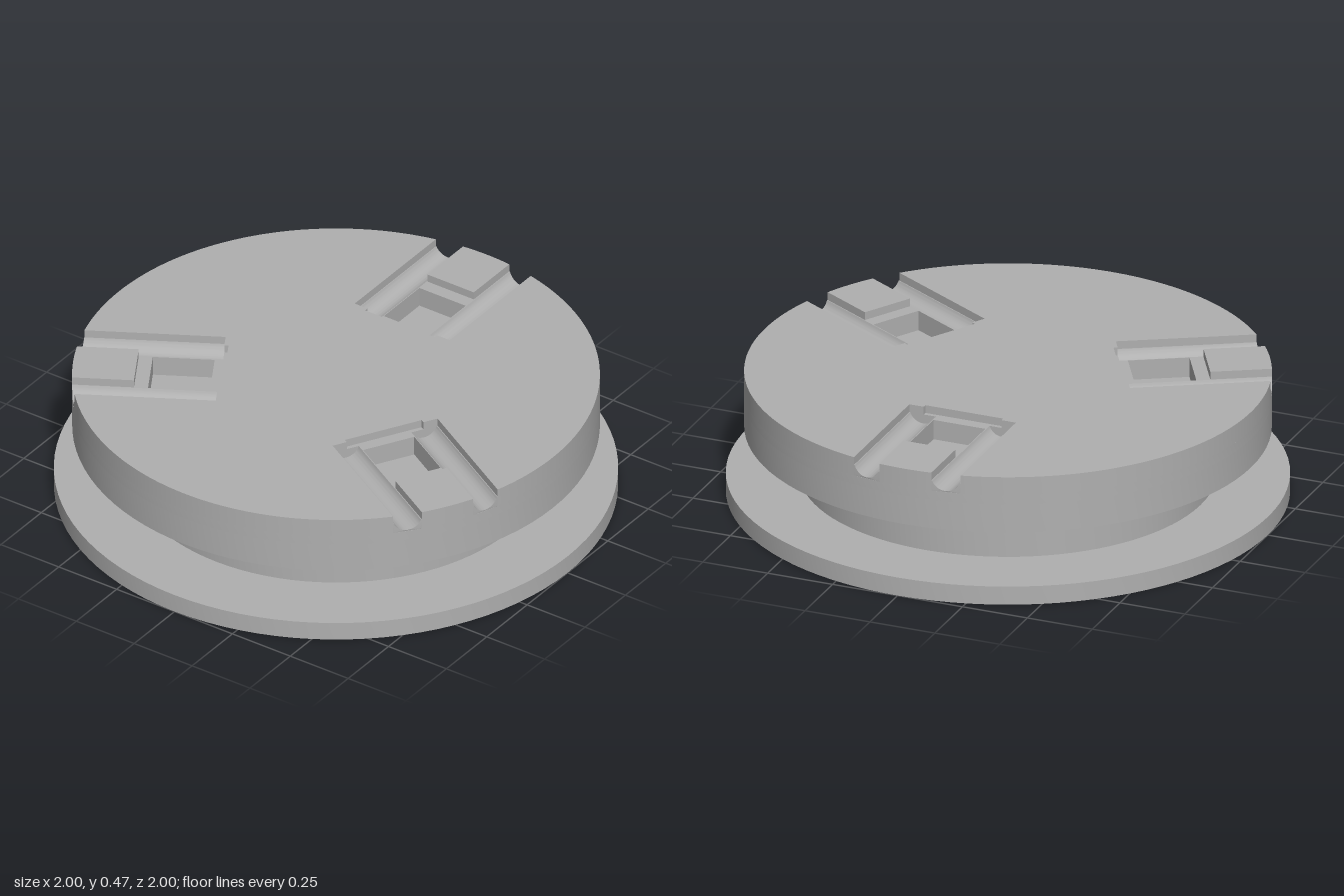
import * as THREE from 'three';
import { toCreasedNormals } from 'three/addons/utils/BufferGeometryUtils.js';

const R = 0.935;              // upper disc radius
const ARM = Math.PI * 2 / 3;  // angle between the three clamp stations
const GROOVE_IN = 0.10, GROOVE_OUT = 0.205, GROOVE_START = 0.41;
const rim = (t) => Math.sqrt(R * R - t * t);

const grey = new THREE.MeshStandardMaterial({ color: 0xb0b0b0 });
grey.name = 'plain grey';

function addMesh(parent, name, geometry) {
  const mesh = new THREE.Mesh(toCreasedNormals(geometry, 0.5), grey);
  mesh.name = name;
  parent.add(mesh);
  return mesh;
}

// Plan shape (plan y points to the back) raised from y0 to y1
function addSlab(parent, name, shape, y0, y1) {
  const g = new THREE.ExtrudeGeometry(shape, { depth: y1 - y0, bevelEnabled: false, curveSegments: 48 });
  g.rotateX(-Math.PI / 2).translate(0, y0, 0);
  return addMesh(parent, name, g);
}

function polygon(points) {
  return new THREE.Shape(points.map(([x, y]) => new THREE.Vector2(x, y)));
}

// Disc with a ring of round holes
function disc(radius, count = 0, ringRadius = 0, holeRadius = 0, start = 0) {
  const s = new THREE.Shape().absarc(0, 0, radius, 0, Math.PI * 2);
  for (let i = 0; i < count; i++) {
    const a = start + i * Math.PI * 2 / count;
    s.holes.push(new THREE.Path().absarc(
      Math.cos(a) * ringRadius, Math.sin(a) * ringRadius, holeRadius, 0, Math.PI * 2, true));
  }
  return s;
}

// Point at sideways offset t and distance r along the station at angle a
const local = (a, t, r) => new THREE.Vector2(
  Math.cos(a) * r + Math.sin(a) * t, Math.sin(a) * r - Math.cos(a) * t);

// Disc outline notched by the three stations
function notchedDisc() {
  const s = new THREE.Shape();
  const gap = Math.asin(GROOVE_OUT / R);
  const w = GROOVE_OUT;
  const notch = [[w, rim(w)], [w, GROOVE_START], [0.15, GROOVE_START], [0.15, 0.395],
    [-0.15, 0.395], [-0.15, GROOVE_START], [-w, GROOVE_START], [-w, rim(w)]];
  for (let i = 0; i < 3; i++) {
    const a = Math.PI / 2 + i * ARM;
    notch.forEach(([t, r], k) => {
      const p = local(a, t, r);
      if (i === 0 && k === 0) s.moveTo(p.x, p.y); else s.lineTo(p.x, p.y);
    });
    s.absarc(0, 0, R, a + gap, a + ARM - gap, false);
  }
  return s;
}

// Trough bed whose outer end follows the rim
function grooveGeometry(side) {
  const cx = side * (GROOVE_IN + GROOVE_OUT) / 2, h = 0.0525, cy = 0.4525, top = 0.435;
  const a = Math.asin((cy - top) / h);
  const s = new THREE.Shape();
  s.moveTo(cx - h, 0.395);
  s.lineTo(cx + h, 0.395);
  s.lineTo(cx + h, top);
  s.absarc(cx, cy, h, -a, -Math.PI + a, true);
  s.lineTo(cx - h, top);
  const g = new THREE.ExtrudeGeometry(s, { depth: 1, bevelEnabled: false, curveSegments: 12 });
  const p = g.attributes.position;
  for (let i = 0; i < p.count; i++) {
    p.setZ(i, p.getZ(i) > 0.5 ? -GROOVE_START : -rim(p.getX(i)));
  }
  return g;
}

// Land, ledges and two troughs of one station
function createStation() {
  const station = new THREE.Group();
  const w = GROOVE_IN, half = Math.asin(w / R);
  const land = new THREE.Shape();
  land.moveTo(-w, 0.71);
  land.lineTo(w, 0.71);
  land.absarc(0, 0, R, Math.PI / 2 - half, Math.PI / 2 + half, false);
  addSlab(station, 'centreLand', land, 0.395, 0.465);
  addSlab(station, 'outerLedge', polygon([[-w, 0.66], [w, 0.66], [w, 0.71], [-w, 0.71]]), 0.395, 0.435);
  addSlab(station, 'innerLedge', polygon([[-0.15, 0.395], [0.15, 0.395], [0.15, GROOVE_START],
    [w, GROOVE_START], [w, 0.44], [-w, 0.44], [-w, GROOVE_START], [-0.15, GROOVE_START]]), 0.395, 0.435);
  for (const side of [-1, 1]) addMesh(station, side > 0 ? 'leftGroove' : 'rightGroove', grooveGeometry(side));
  return station;
}

export function createModel() {
  const model = new THREE.Group();
  model.name = 'groovedMountingPlate';

  // Flange and neck share three blind holes from below
  addSlab(model, 'baseFlange', disc(1, 3, 0.62, 0.06, -Math.PI / 2), 0, 0.07);
  addSlab(model, 'neck', disc(0.74, 3, 0.62, 0.06, -Math.PI / 2), 0.07, 0.25);

  // Upper disc: drilled underside, pocketed middle, notched top
  addSlab(model, 'upperDiscUnderside', disc(R, 6, 0.84, 0.075, 0), 0.25, 0.36);
  const pocketed = disc(R);
  for (let i = 0; i < 3; i++) {
    const a = Math.PI / 2 + i * ARM;
    const corners = [[-0.1, 0.44], [-0.1, 0.66], [0.1, 0.66], [0.1, 0.44]];
    pocketed.holes.push(new THREE.Path(corners.map(([t, r]) => local(a, t, r))));
  }
  addSlab(model, 'upperDiscMiddle', pocketed, 0.36, 0.395);
  addSlab(model, 'upperDiscTop', notchedDisc(), 0.395, 0.465);

  for (let i = 0; i < 3; i++) {
    const station = createStation();
    station.name = 'clampStation' + (i + 1);
    station.rotation.y = i * ARM;
    model.add(station);
  }
  return model;
}
